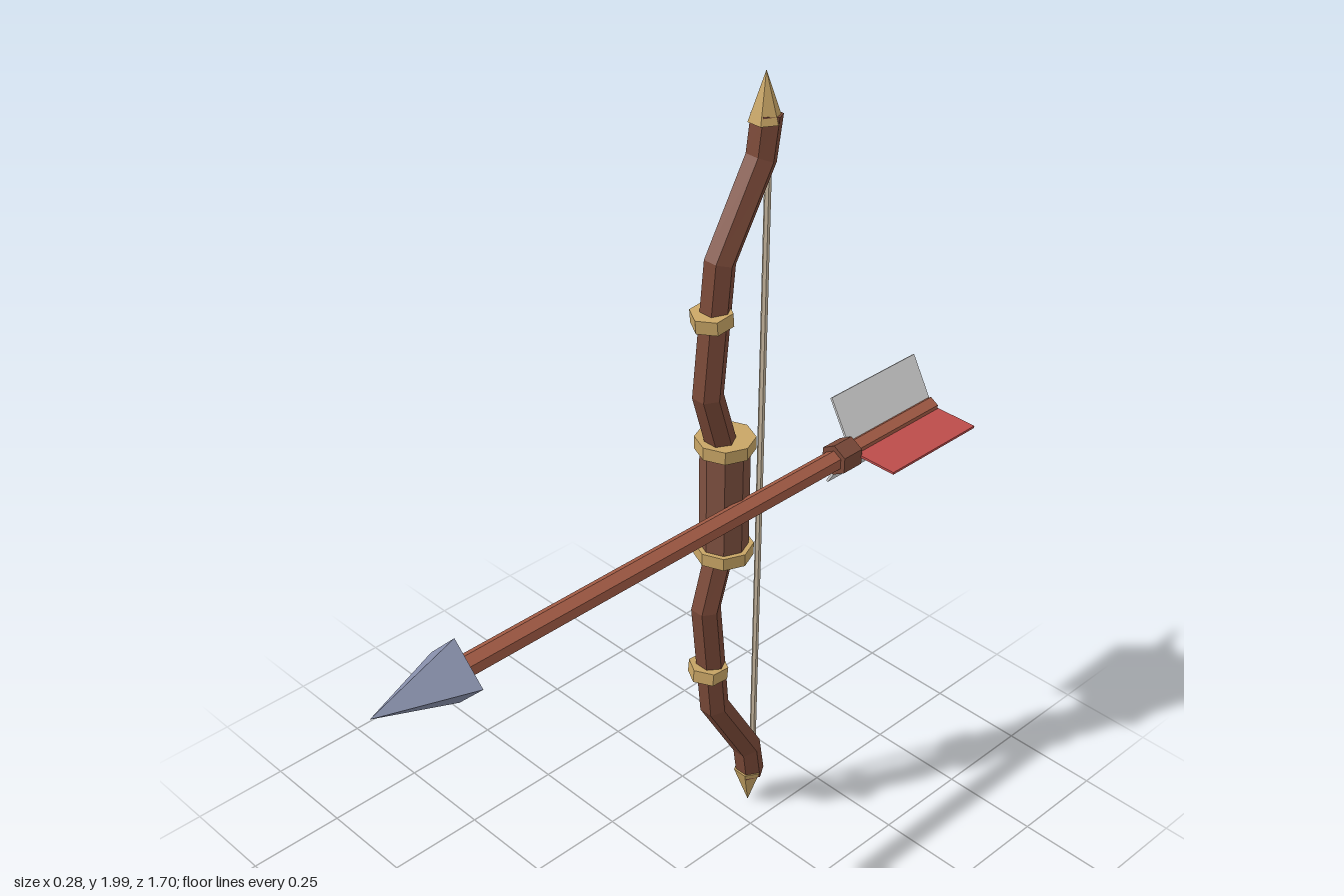
import * as THREE from 'three';

const mat = (name, color, extra = {}) =>
  new THREE.MeshStandardMaterial({ name, color, flatShading: true, ...extra });

export function createModel() {
  const wood = mat('dark wood', 0x7a4938);
  const leather = mat('grip leather', 0x7f5140);
  const shaftWood = mat('shaft wood', 0xa05a44);
  const brass = mat('brass', 0xc8a565);
  const steel = mat('steel', 0x8890ac);
  const cord = mat('cord', 0xc9b9a0);
  const red = mat('red feather', 0xbc4c4a);
  const grey = mat('pale feather', 0xd6d6d6);

  const model = new THREE.Group();
  const add = (parent, name, geo, material, x = 0, y = 0, z = 0) => {
    const mesh = new THREE.Mesh(geo, material);
    mesh.name = name;
    mesh.position.set(x, y, z);
    parent.add(mesh);
    return mesh;
  };

  // Bow: origin at the middle of the grip, upper and lower halves mirrored
  const bow = new THREE.Group();
  bow.name = 'bow';
  bow.position.set(-0.07, 1.005, 0);
  model.add(bow);

  // Upper half of the stave as [height, depth]
  const half = [[0, -0.21], [0.15, -0.195], [0.29, -0.152], [0.605, -0.184], [0.805, -0.302], [0.9, -0.317]];
  const path = [...half.slice(1).reverse().map(([y, z]) => [-y, z]), ...half];
  add(bow, 'stave', sweep(path, 0.036, 6), wood);

  add(bow, 'grip', new THREE.CylinderGeometry(0.058, 0.058, 0.29, 8), leather, 0, 0, -0.208);
  add(bow, 'bowstring', new THREE.CylinderGeometry(0.008, 0.008, 1.62, 6), cord, 0, 0, -0.324);

  for (const s of [1, -1]) {
    add(bow, 'gripRing', new THREE.CylinderGeometry(0.07, 0.07, 0.032, 8), brass, 0, s * 0.145, -0.208);
    const band = add(bow, 'limbBand', new THREE.CylinderGeometry(0.049, 0.049, 0.033, 6), brass, 0, s * 0.48, -0.161);
    band.rotation.x = s * 0.1;
    const tip = add(bow, 'limbTip', new THREE.ConeGeometry(0.038, 0.11, 6).rotateY(Math.PI / 6), brass, 0, s * 0.94, -0.311);
    if (s < 0) tip.rotation.x = Math.PI;
  }

  // Arrow: lies along z, pointing to the front
  const arrow = new THREE.Group();
  arrow.name = 'arrow';
  arrow.position.y = 1.003;
  model.add(arrow);
  const alongZ = (geo) => geo.rotateX(Math.PI / 2);

  add(arrow, 'shaft', alongZ(new THREE.CylinderGeometry(0.026, 0.026, 1.5, 6)), shaftWood, 0, 0, -0.1);
  add(arrow, 'arrowhead', alongZ(new THREE.ConeGeometry(0.084, 0.22, 4)), steel, 0, 0, 0.74);
  add(arrow, 'collar', alongZ(new THREE.CylinderGeometry(0.04, 0.04, 0.06, 6)), wood, 0, 0, -0.53);

  // Three vanes spread evenly around the shaft
  for (let i = 0; i < 3; i++) {
    const vane = add(arrow, 'vane', new THREE.BoxGeometry(0.135, 0.006, 0.295).translate(0.0675, 0, 0),
      i === 0 ? red : grey, 0, 0, -0.7055);
    vane.rotation.z = (i * 2 * Math.PI) / 3;
  }
  return model;
}

// Sweeps a regular polygon along a path of [y, z] points, mitred at the bends
function sweep(path, radius, sides) {
  const pos = [], index = [];
  path.forEach(([y, z], i) => {
    const a = path[Math.max(i - 1, 0)], b = path[Math.min(i + 1, path.length - 1)];
    const t = new THREE.Vector2(b[0] - a[0], b[1] - a[1]).normalize();
    for (let k = 0; k < sides; k++) {
      const ang = (k / sides) * Math.PI * 2;
      const d = Math.sin(ang) * radius;
      pos.push(Math.cos(ang) * radius, y - t.y * d, z + t.x * d);
      if (i < path.length - 1) {
        const p = i * sides + k, q = i * sides + ((k + 1) % sides);
        index.push(p, p + sides, q, q, p + sides, q + sides);
      }
    }
  });
  // End caps
  const last = (path.length - 1) * sides;
  for (let k = 1; k < sides - 1; k++) {
    index.push(0, k, k + 1, last, last + k + 1, last + k);
  }
  const geo = new THREE.BufferGeometry();
  geo.setAttribute('position', new THREE.Float32BufferAttribute(pos, 3));
  geo.setIndex(index);
  geo.computeVertexNormals();
  return geo;
}
